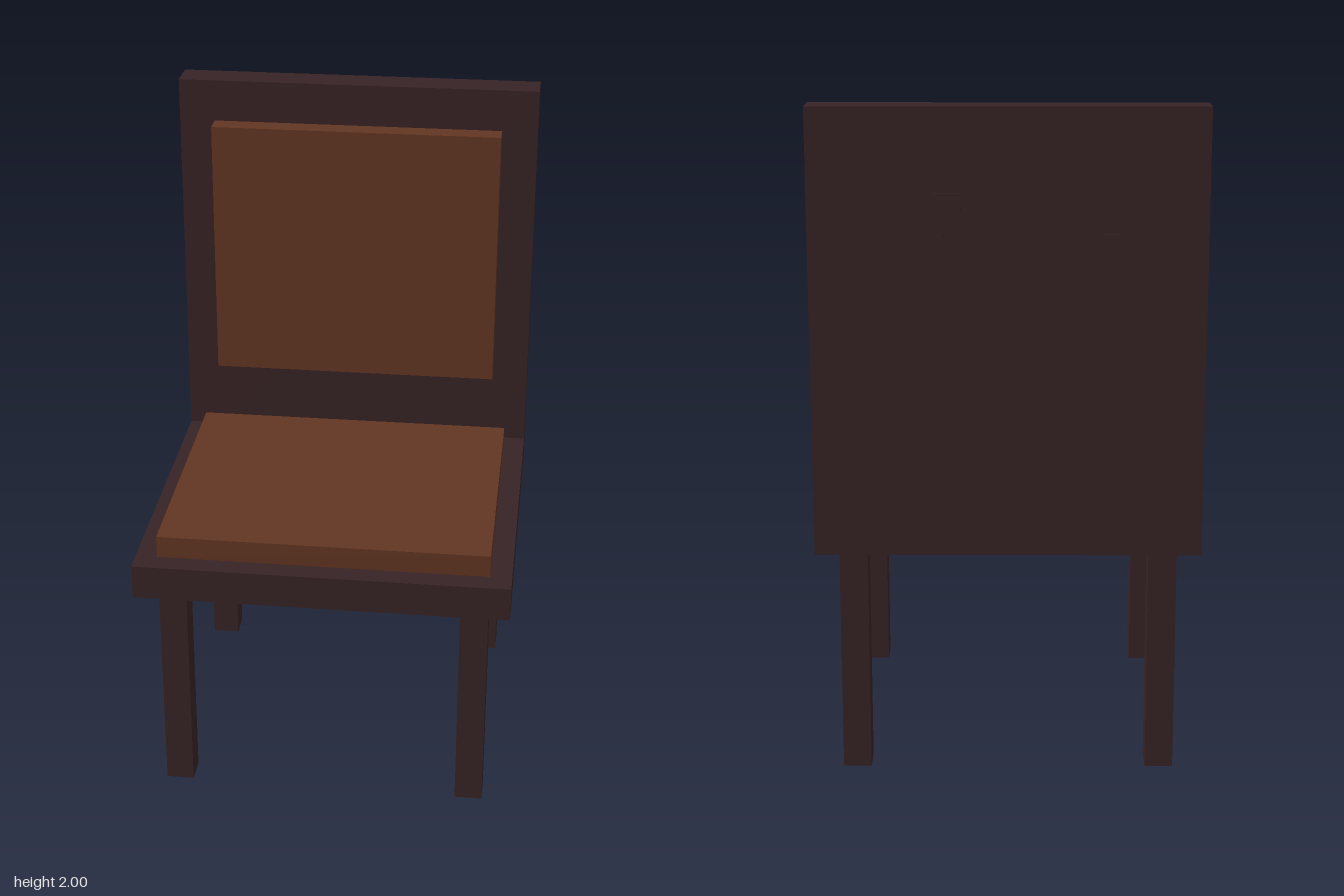
import * as THREE from 'three';

export function createModel() {
  const chair = new THREE.Group();
  chair.name = 'chair';

  const darkWood = new THREE.MeshStandardMaterial({ color: 0x372325 });
  darkWood.name = 'dark wood';
  const leather = new THREE.MeshStandardMaterial({ color: 0x623522 });
  leather.name = 'brown leather';

  // Box given by its extents along each axis
  function box(name, material, [x0, x1], [y0, y1], [z0, z1]) {
    const mesh = new THREE.Mesh(new THREE.BoxGeometry(x1 - x0, y1 - y0, z1 - z0), material);
    mesh.position.set((x0 + x1) / 2, (y0 + y1) / 2, (z0 + z1) / 2);
    mesh.name = name;
    chair.add(mesh);
  }

  // Seat and backrest, each with its cushion
  box('seatFrame', darkWood, [-0.564, 0.564], [0.698, 0.804], [-0.423, 0.556]);
  box('backrest', darkWood, [-0.564, 0.564], [0.698, 2], [-0.529, -0.423]);
  box('seatCushion', leather, [-0.499, 0.499], [0.804, 0.873], [-0.356, 0.491]);
  box('backCushion', leather, [-0.453, 0.453], [1.048, 1.87], [-0.423, -0.356]);

  // Four square legs
  for (const side of [-1, 1]) {
    const x = [side * 0.456 - 0.042, side * 0.456 + 0.042];
    box('frontLeg', darkWood, x, [0, 0.698], [0.407, 0.492]);
    box('backLeg', darkWood, x, [0, 0.698], [-0.461, -0.376]);
  }

  // Stepped ornaments on the rear of the backrest, as a mirrored pair
  const outline = [
    [0.443, 1.817], [0.251, 1.817], [0.251, 1.868], [0.195, 1.868], [0.195, 1.76],
    [0.115, 1.76], [0.115, 1.693], [0.163, 1.693], [0.163, 1.63], [0.307, 1.63],
    [0.307, 1.404], [0.355, 1.404], [0.355, 1.475], [0.395, 1.475], [0.395, 1.585],
    [0.427, 1.585], [0.427, 1.685], [0.443, 1.685],
  ];
  const slot = [[0.291, 1.75], [0.331, 1.75], [0.331, 1.645], [0.291, 1.645]];
  for (const side of [-1, 1]) {
    const place = ([x, y]) => new THREE.Vector2(0.0165 + side * x, y);
    const shape = new THREE.Shape(outline.map(place));
    shape.holes.push(new THREE.Path(slot.map(place)));
    const geometry = new THREE.ExtrudeGeometry(shape, { depth: 0.002, bevelEnabled: false });
    const ornament = new THREE.Mesh(geometry, darkWood);
    ornament.position.z = -0.531;
    ornament.name = 'backOrnament';
    chair.add(ornament);
  }

  return chair;
}
